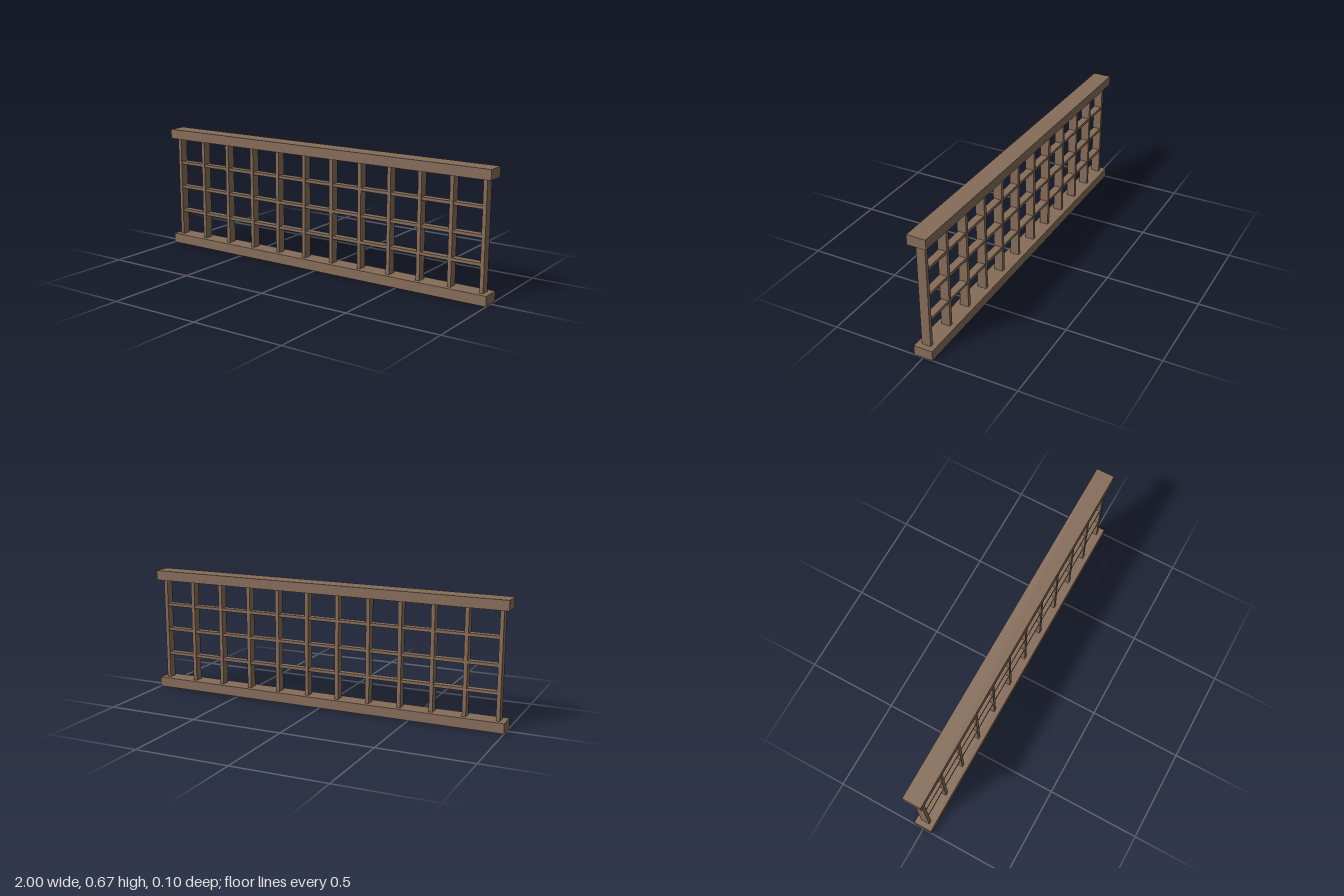
import * as THREE from 'three';

export function createModel() {
  const model = new THREE.Group();
  model.name = 'latticeRailing';
  const wood = new THREE.MeshStandardMaterial({ color: 0x866c59 });

  const addBox = (name, w, h, d, x, y) => {
    const mesh = new THREE.Mesh(new THREE.BoxGeometry(w, h, d), wood);
    mesh.name = name;
    mesh.position.set(x, y, 0);
    model.add(mesh);
  };

  const height = 0.667, railHeight = 0.053, railDepth = 0.1;
  const gap = height - 2 * railHeight;

  // Thick rails at bottom and top
  addBox('bottomRail', 2, railHeight, railDepth, 0, railHeight / 2);
  addBox('topRail', 2, railHeight, railDepth, 0, height - railHeight / 2);

  // Upright slats between the rails
  const slats = 12, endX = 0.96, slatWidth = 0.02;
  for (let i = 0; i < slats; i++) {
    const x = -endX + (2 * endX * i) / (slats - 1);
    addBox('uprightSlat' + (i + 1), slatWidth, gap, 0.048, x, height / 2);
  }

  // Cross bars, slightly shallower, ending at the outer slats
  for (let i = 1; i <= 3; i++) {
    addBox('crossBar' + i, 2 * endX - slatWidth, 0.016, 0.04, 0, railHeight + (gap * i) / 4);
  }

  return model;
}
